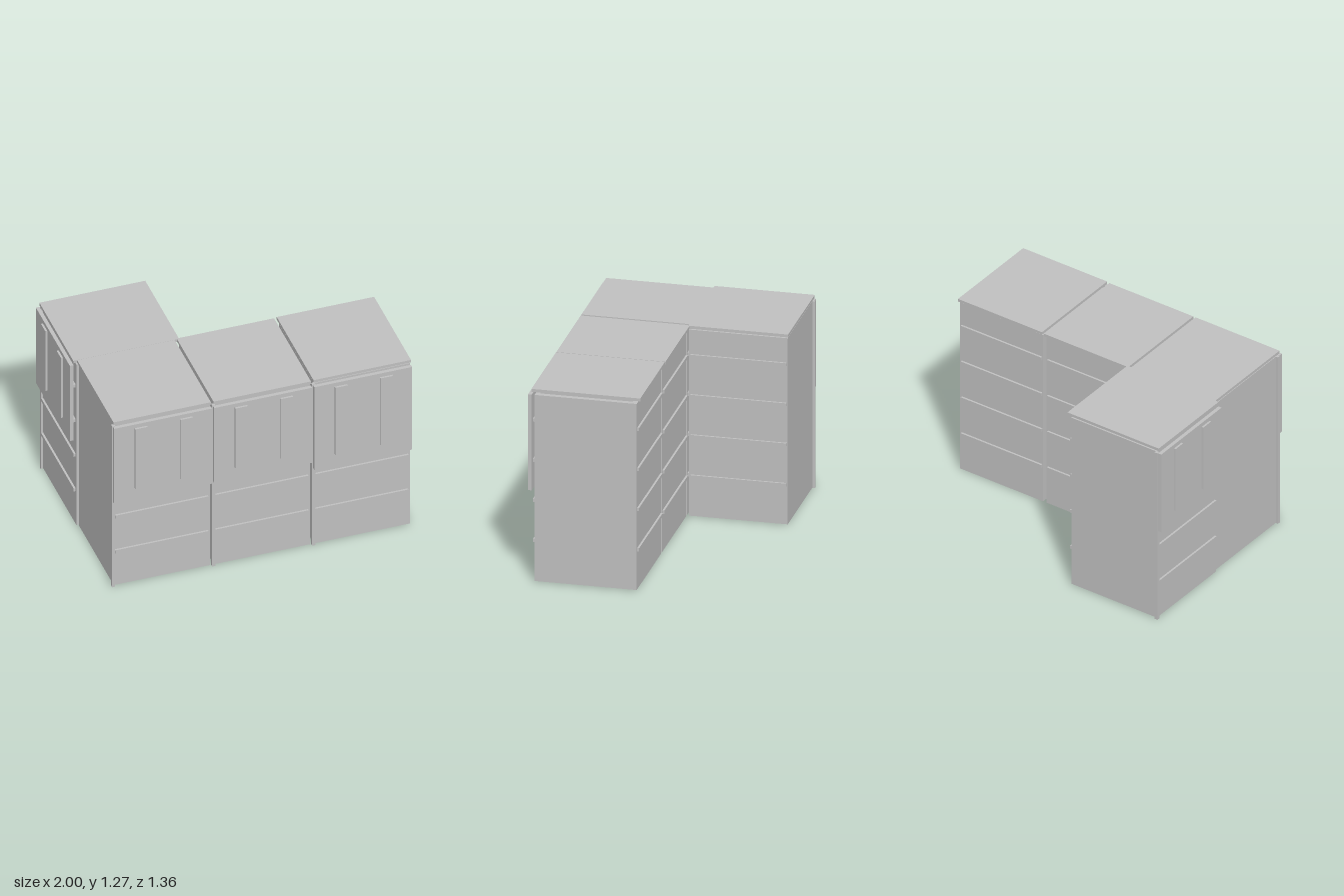
import * as THREE from 'three';

export function createModel() {
  const model = new THREE.Group();
  model.name = 'cabinetRow';
  const grey = new THREE.MeshStandardMaterial({ color: 0xc0c0c0 });
  grey.name = 'light grey';

  // Box given by its minimum and maximum along each axis
  function box(parent, name, [x0, x1], [y0, y1], [z0, z1]) {
    const mesh = new THREE.Mesh(new THREE.BoxGeometry(x1 - x0, y1 - y0, z1 - z0), grey);
    mesh.position.set((x0 + x1) / 2, (y0 + y1) / 2, (z0 + z1) / 2);
    mesh.name = name;
    parent.add(mesh);
  }

  // One cabinet: x runs along its front from 0 to 0.635, z points out of the front
  function cabinet(name, doorBottom, topLift) {
    const g = new THREE.Group();
    g.name = name;
    box(g, 'body', [0.008, 0.635], [0.003, 1.233], [-0.022, 0.625]);
    box(g, 'frontPost', [-0.007, 0.013], [0, 1.233], [0.618, 0.64]);

    // Rails across the front and the back
    for (const y of [0.265, 0.531, 0.796, 1.061]) {
      box(g, 'frontRail', [0.014, 0.622], [y - 0.011, y + 0.011], [0.62, 0.638]);
      box(g, 'backRail', [0.014, 0.622], [y - 0.011, y + 0.011], [-0.035, -0.02]);
    }

    // Door with two raised strips
    box(g, 'door', [-0.003, 0.635], [doorBottom, 1.233], [0.643, 0.667]);
    for (const x of [0.13, 0.425]) {
      box(g, 'doorStrip', [x, x + 0.081], [doorBottom + 0.09, 1.205], [0.667, 0.68]);
    }

    // Recessed neck and overhanging top
    box(g, 'topNeck', [0.03, 0.602], [1.233, 1.247 + topLift], [0.01, 0.597]);
    box(g, 'topSlab', [0, 0.635], [1.247 + topLift, 1.266 + topLift], [-0.045, 0.645]);
    model.add(g);
    return g;
  }

  cabinet('leftmostFrontCabinet', 0.657, 0).position.x = -0.94;
  cabinet('middleFrontCabinet', 0.657, 0).position.x = -0.288;
  cabinet('endFrontCabinet', 0.6, 0.005).position.x = 0.364;

  // Rear cabinet faces sideways
  const rear = cabinet('rearCabinet', 0.657, 0.001);
  rear.rotation.y = -Math.PI / 2;
  rear.position.set(-0.32, 0, -0.67);

  return model;
}
